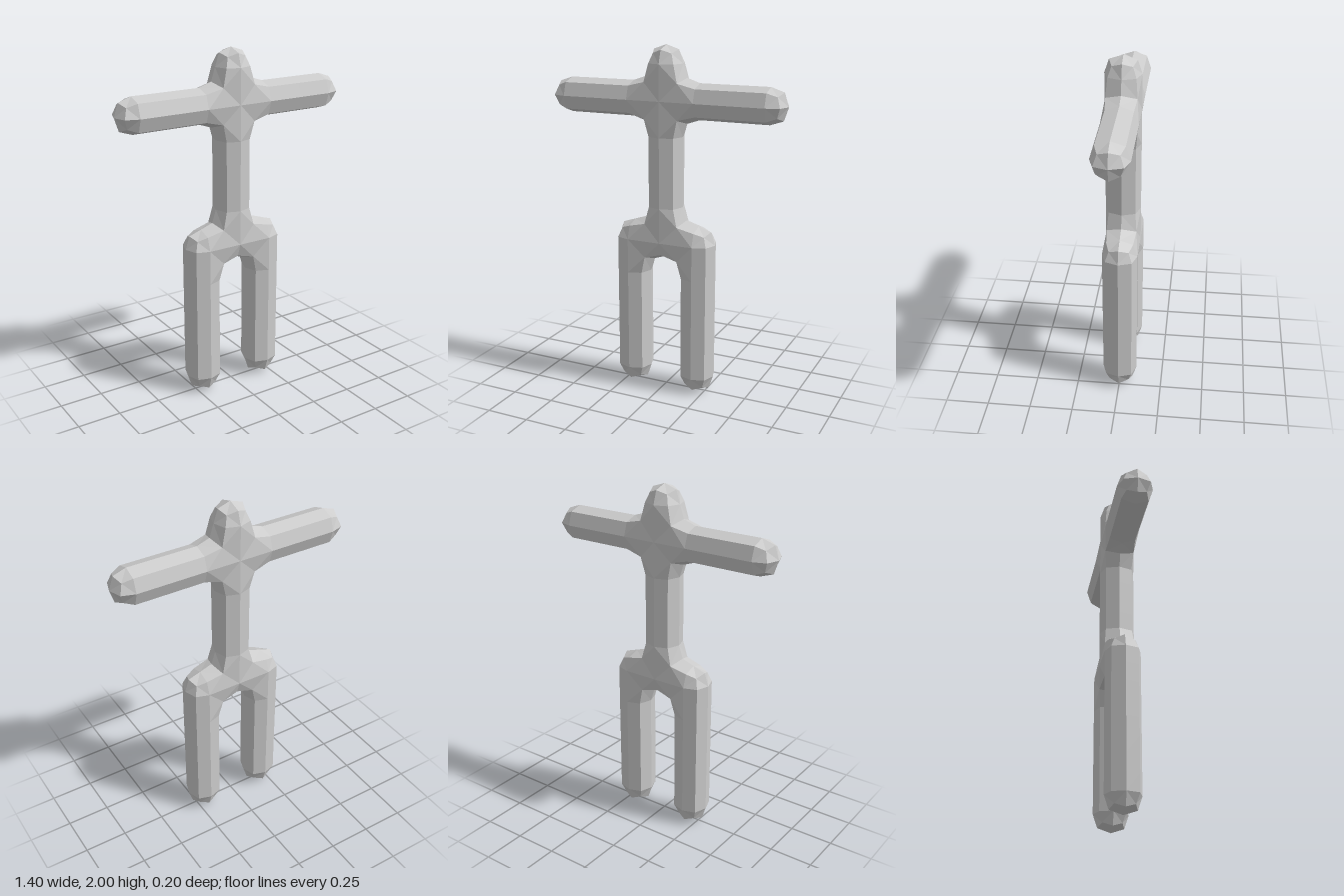
import * as THREE from 'three';

const CELL = 0.2;

// Cells (column, row) of the blocky cage, one cell deep
function cageCells() {
  const cells = [];
  for (const side of [-1, 1]) {
    for (let y = 0; y < 5; y++) cells.push([side, y]);          // legs and hips
    for (let x = 1; x <= 3; x++) cells.push([side * x, 8]);     // arms
  }
  for (let y = 4; y < 10; y++) cells.push([0, y]);              // pelvis, torso, chest, head
  return cells;
}

// Outer quads of the cage, counter-clockwise from outside
function cageQuads(cells) {
  const filled = new Set(cells.map(c => c.join()));
  const quads = [];
  for (const [cx, cy] of cells) {
    const centre = new THREE.Vector3(cx, cy + 0.5, 0);
    for (let axis = 0; axis < 3; axis++) {
      for (const s of [-1, 1]) {
        const n = new THREE.Vector3().setComponent(axis, s);
        if (axis < 2 && filled.has([cx + n.x, cy + n.y].join())) continue;
        const u = new THREE.Vector3().setComponent((axis + 1) % 3, 1);
        const v = n.clone().cross(u);
        quads.push([[-1, -1], [1, -1], [1, 1], [-1, 1]].map(([a, b]) =>
          centre.clone().addScaledVector(n, 0.5).addScaledVector(u, a / 2).addScaledVector(v, b / 2)));
      }
    }
  }
  return quads;
}

const average = pts => pts.reduce((sum, p) => sum.add(p), new THREE.Vector3()).divideScalar(pts.length);
const key = p => p.toArray().map(c => Math.round(c * 4)).join();

// One Catmull-Clark step, returned as triangles fanned from each face point
function smoothOnce(quads) {
  const edges = new Map(), corners = new Map();
  const entry = (map, k, make) => map.get(k) ?? map.set(k, make()).get(k);
  const facePoints = quads.map(average);

  quads.forEach((quad, f) => quad.forEach((p, i) => {
    const q = quad[(i + 1) % 4];
    const mid = average([p, q]);
    entry(edges, key(mid), () => ({ mid, faces: [] })).faces.push(facePoints[f]);
    for (const end of [p, q]) {
      const corner = entry(corners, key(end), () => ({ p: end, faces: [], mids: new Map() }));
      corner.mids.set(key(mid), mid);
      if (end === p) corner.faces.push(facePoints[f]);
    }
  }));

  for (const e of edges.values()) e.point = average([e.mid, average(e.faces)]);
  for (const c of corners.values()) {
    const n = c.faces.length;
    c.point = average(c.faces)
      .addScaledVector(average([...c.mids.values()]), 2)
      .addScaledVector(c.p, n - 3)
      .divideScalar(n);
  }

  const triangles = [];
  quads.forEach((quad, f) => quad.forEach((p, i) => {
    const before = edges.get(key(average([quad[(i + 3) % 4], p]))).point;
    const after = edges.get(key(average([p, quad[(i + 1) % 4]]))).point;
    const corner = corners.get(key(p)).point;
    triangles.push(facePoints[f], before, corner, facePoints[f], corner, after);
  }));
  return triangles;
}

export function createModel() {
  const group = new THREE.Group();
  group.name = 'stickFigure';

  // Continuous skin over head, torso, arms and legs
  const geometry = new THREE.BufferGeometry().setFromPoints(smoothOnce(cageQuads(cageCells())));
  geometry.scale(CELL, CELL, CELL);
  geometry.computeVertexNormals();
  const body = new THREE.Mesh(geometry, new THREE.MeshStandardMaterial({ color: 0xcccccc, flatShading: true }));
  body.name = 'body';
  group.add(body);
  return group;
}
